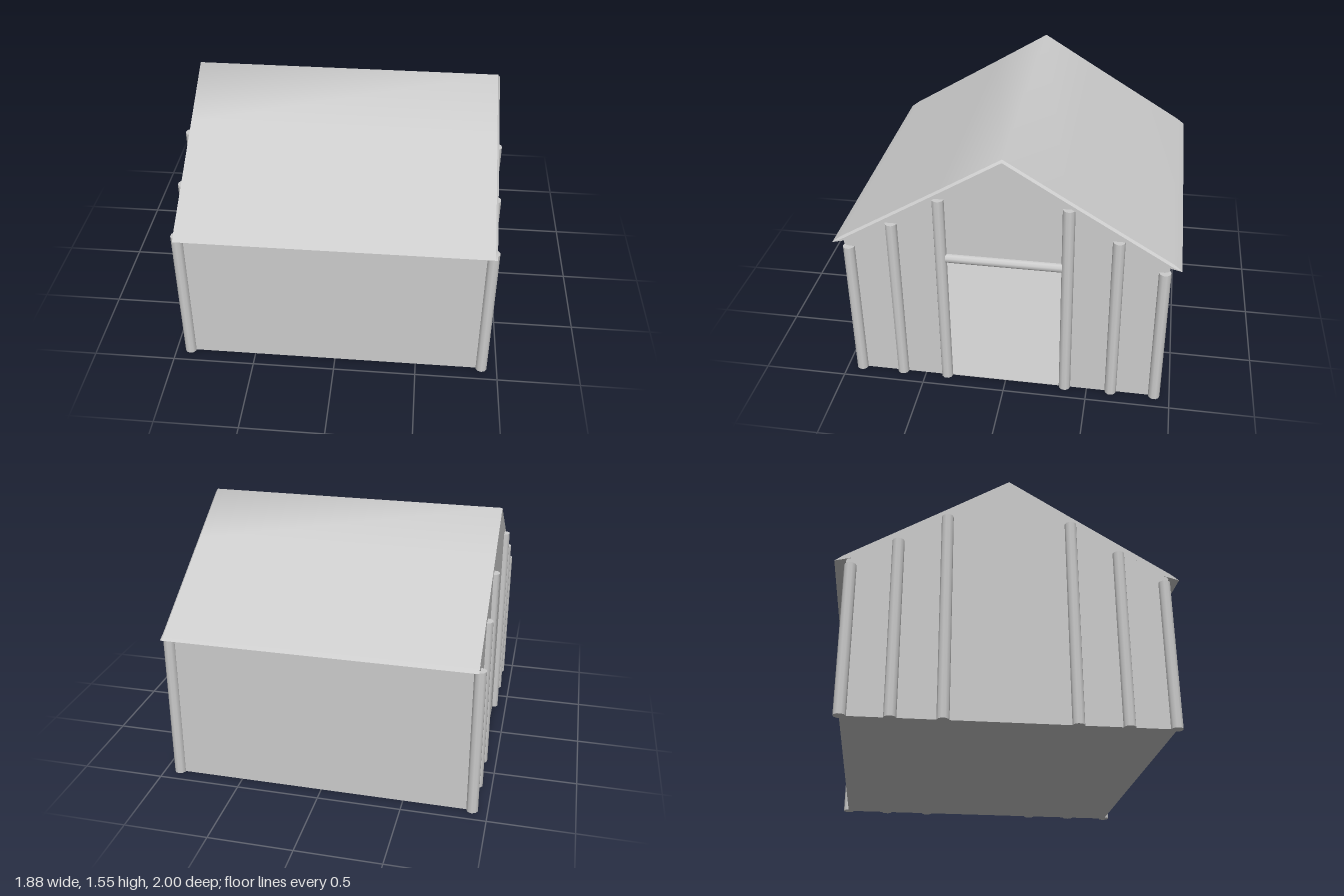
import * as THREE from 'three';
import { mergeVertices } from 'three/addons/utils/BufferGeometryUtils.js';

const grey = new THREE.MeshStandardMaterial({ color: 0xcccccc, side: THREE.DoubleSide });

// half profile of the roof from ridge to eave: [z, y]
const topHalf = [[0, 1.555], [0.35, 1.34], [0.95, 0.975], [1, 0.937]];
const underHalf = [[0, 1.515], [0.92, 0.957], [1, 0.937]];
const mirrored = half => [...half.slice(1).reverse().map(([z, y]) => [-z, y]), ...half];

// surface stretched between equally long rows of points
function loft(rows) {
  const n = rows[0].length, index = [];
  for (let r = 0; r < rows.length - 1; r++)
    for (let i = 0; i < n - 1; i++) {
      const a = r * n + i, b = a + n;
      index.push(a, a + 1, b, a + 1, b + 1, b);
    }
  const g = new THREE.BufferGeometry();
  g.setAttribute('position', new THREE.Float32BufferAttribute(rows.flat(2), 3));
  g.setIndex(index);
  const merged = mergeVertices(g);
  merged.computeVertexNormals();
  return merged;
}

const rowAt = (profile, x, drop = 0) => profile.map(([z, y]) => [x, y - drop, z]);

export function createModel() {
  const model = new THREE.Group();
  model.name = 'shed';
  const add = (name, geometry, x = 0, y = 0, z = 0, parent = model) => {
    const mesh = new THREE.Mesh(geometry, grey);
    mesh.name = name;
    mesh.position.set(x, y, z);
    parent.add(mesh);
    return mesh;
  };

  // floor and long walls
  add('floor', new THREE.BoxGeometry(1.815, 0.005, 1.82), -0.0025, 0.0025, 0);
  for (const s of [1, -1]) {
    const wall = add(s > 0 ? 'frontWall' : 'backWall', new THREE.PlaneGeometry(1.815, 0.94), -0.0025, 0.47, s * 0.91);
    if (s < 0) wall.rotation.y = Math.PI;
  }

  // gable walls, the left one with a doorway (shape x runs along -z)
  for (const s of [1, -1]) {
    const shape = new THREE.Shape();
    shape.moveTo(-0.91, 0);
    if (s > 0) {
      shape.lineTo(-0.335, 0);
      shape.lineTo(-0.335, 0.88);
      shape.lineTo(0.335, 0.88);
      shape.lineTo(0.335, 0);
    }
    shape.lineTo(0.91, 0);
    shape.lineTo(0.91, 0.963);
    shape.lineTo(0, 1.515);
    shape.lineTo(-0.91, 0.963);
    const gable = add(s > 0 ? 'doorGable' : 'plainGable', new THREE.ShapeGeometry(shape), s > 0 ? 0.905 : -0.91, 0, 0);
    gable.rotation.y = s * Math.PI / 2;
  }

  // round posts on both gables
  const posts = new THREE.Group();
  posts.name = 'posts';
  model.add(posts);
  for (const x of [0.905, -0.91])
    for (const [z, h] of [[0.908, 0.912], [0.645, 1.092], [0.365, 1.275]])
      for (const s of [1, -1])
        add('post', new THREE.CylinderGeometry(0.035, 0.035, h, 10), x, h / 2, s * z, posts);

  // door lintel and eave beams
  add('doorLintel', new THREE.CylinderGeometry(0.029, 0.029, 0.67, 10), 0.902, 0.885, 0).rotation.x = Math.PI / 2;
  for (const s of [1, -1])
    add('eaveBeam', new THREE.CylinderGeometry(0.022, 0.022, 1.815, 10), -0.0025, 0.936, s * 0.913).rotation.z = Math.PI / 2;

  // roof: top skin, underside, bevelled verge over the door and end caps
  const roof = new THREE.Group();
  roof.name = 'roof';
  model.add(roof);
  const top = mirrored(topHalf), under = mirrored(underHalf);
  add('roofTop', loft([rowAt(top, -0.91), rowAt(top, 0.908)]), 0, 0, 0, roof);
  add('roofUnderside', loft([rowAt(under, 0.92), rowAt(under, -0.91)]), 0, 0, 0, roof);
  const bevel = top.map(([z, y]) => [z, y - 0.015 * Math.min(1, (1 - Math.abs(z)) / 0.05)]);
  add('vergeBevel', loft([rowAt(top, 0.908), rowAt(bevel, 0.92)]), 0, 0, 0, roof);
  const capShape = profile => new THREE.ShapeGeometry(new THREE.Shape(
    [...profile, ...under.slice(1, -1).reverse()].map(([z, y]) => new THREE.Vector2(-z, y))));
  add('vergeEnd', capShape(bevel), 0.92, 0, 0, roof).rotation.y = Math.PI / 2;
  add('plainEnd', capShape(top), -0.91, 0, 0, roof).rotation.y = -Math.PI / 2;

  return model;
}
